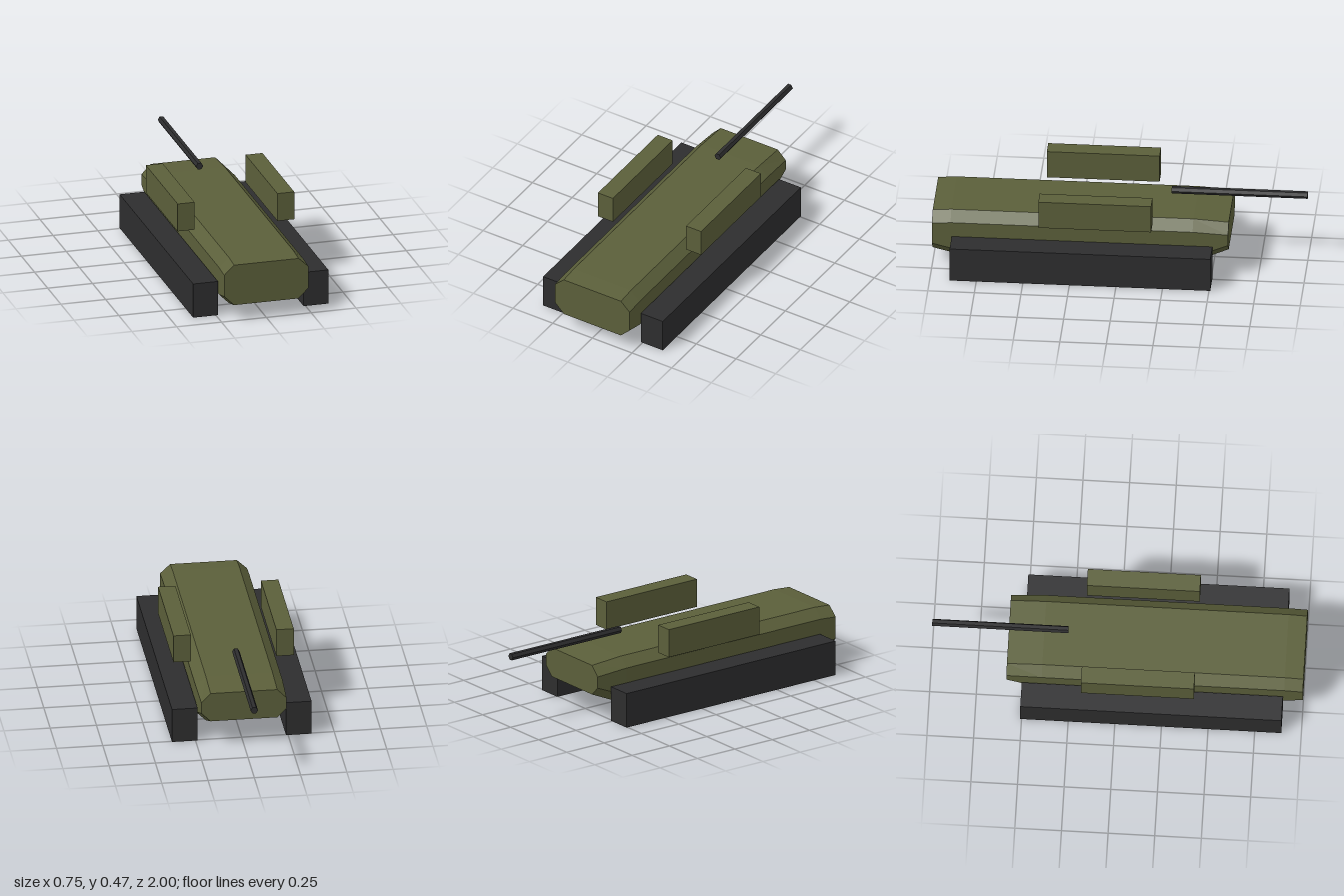
import * as THREE from 'three';

const olive = new THREE.MeshStandardMaterial({ color: 0x5b5f3a, flatShading: true });
olive.name = 'olive paint';
const dark = new THREE.MeshStandardMaterial({ color: 0x2d2d2e, flatShading: true });
dark.name = 'dark metal';

function addMesh(parent, name, geometry, material, x = 0, y = 0, z = 0) {
  const mesh = new THREE.Mesh(geometry, material);
  mesh.name = name;
  mesh.position.set(x, y, z);
  parent.add(mesh);
  return mesh;
}

// Chamfered hull lofted through octagonal sections from front to back
function hullGeometry() {
  // z, half width, bottom, lower corner, upper corner, top
  const sections = [
    [1.0, 0.235, 0.09, 0.145, 0.267, 0.319],
    [0.9, 0.235, 0.065, 0.12, 0.275, 0.327],
    [-0.4, 0.235, 0.065, 0.12, 0.275, 0.327],
    [-0.59, 0.23, 0.15, 0.2, 0.263, 0.315],
  ];
  const flat = 0.18;
  const rings = sections.map(([z, w, bottom, low, high, top]) => [
    [-flat, bottom, z], [flat, bottom, z], [w, low, z], [w, high, z],
    [flat, top, z], [-flat, top, z], [-w, high, z], [-w, low, z],
  ]);
  const positions = [];
  const tri = (a, b, c) => positions.push(...a, ...b, ...c);
  for (let i = 0; i < rings.length - 1; i++) {
    for (let j = 0; j < 8; j++) {
      const k = (j + 1) % 8;
      tri(rings[i][j], rings[i + 1][j], rings[i][k]);
      tri(rings[i][k], rings[i + 1][j], rings[i + 1][k]);
    }
  }
  // End caps
  const front = rings[0];
  const back = rings[rings.length - 1];
  for (let j = 1; j < 7; j++) {
    tri(front[0], front[j], front[j + 1]);
    tri(back[0], back[j + 1], back[j]);
  }
  const geometry = new THREE.BufferGeometry();
  geometry.setAttribute('position', new THREE.Float32BufferAttribute(positions, 3));
  geometry.computeVertexNormals();
  return geometry;
}

export function createModel() {
  const model = new THREE.Group();
  model.name = 'armoredVehicle';

  addMesh(model, 'hull', hullGeometry(), olive);

  // Mirrored tracks and raised side boxes
  for (const [side, s] of [['left', 1], ['right', -1]]) {
    addMesh(model, side + 'Track', new THREE.BoxGeometry(0.138, 0.193, 1.4), dark,
      s * 0.308, 0.0965, 0.193);
    addMesh(model, side + 'SideBox', new THREE.BoxGeometry(0.094, 0.157, 0.606), olive,
      s * 0.278, 0.394, 0.118);
  }

  // Six-sided gun barrel lying along z
  const barrel = new THREE.CylinderGeometry(0.02, 0.02, 0.73, 6, 1, false, Math.PI / 2);
  barrel.rotateX(-Math.PI / 2);
  addMesh(model, 'gunBarrel', barrel, dark, 0, 0.4, -0.635);

  return model;
}
